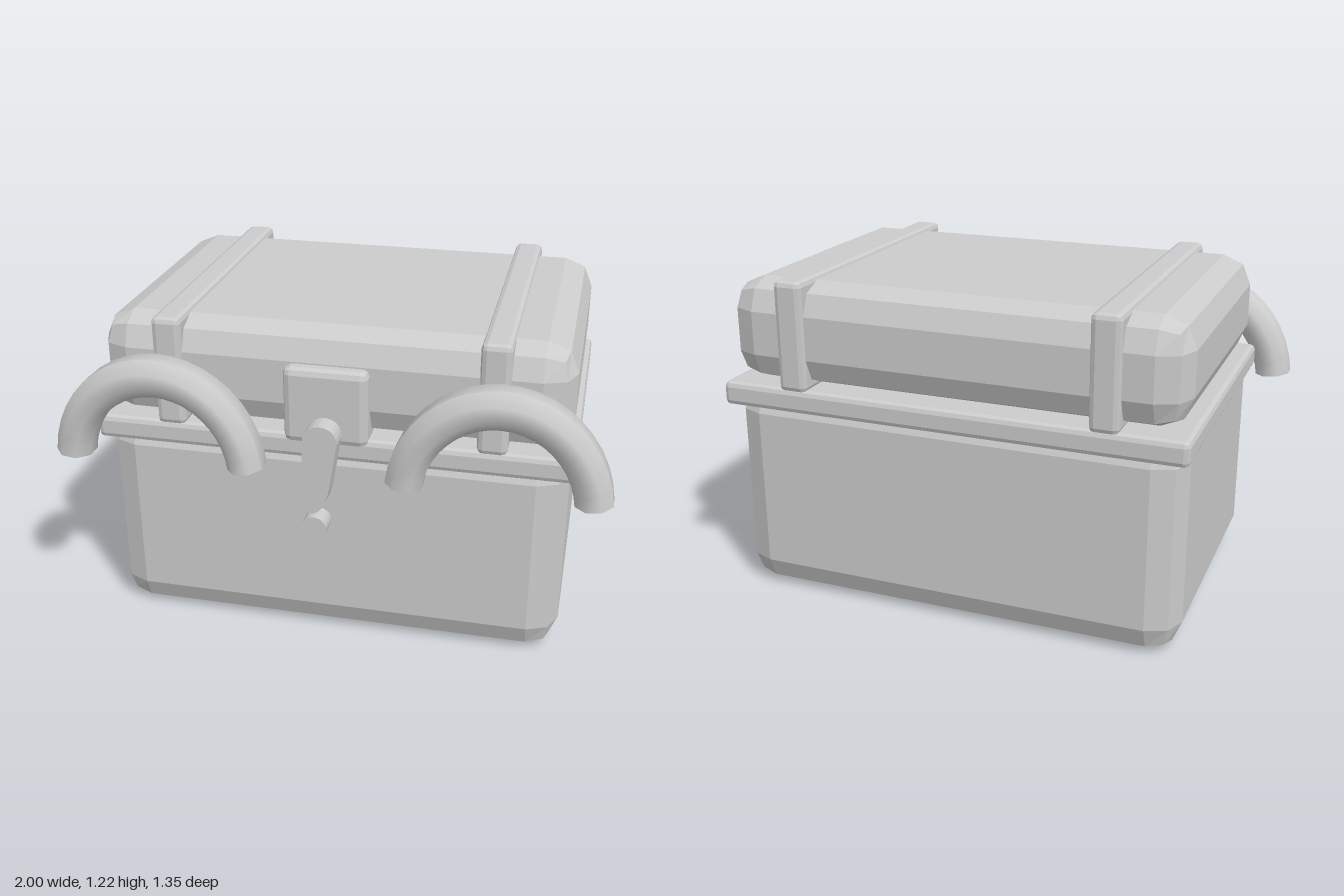
import * as THREE from 'three';
import { RoundedBoxGeometry } from 'three/addons/geometries/RoundedBoxGeometry.js';

export function createModel() {
  const model = new THREE.Group();
  model.name = 'chest';
  const grey = new THREE.MeshStandardMaterial({ color: 0xcccccc });
  grey.name = 'grey';

  const add = (name, geometry) => {
    const mesh = new THREE.Mesh(geometry, grey);
    mesh.name = name;
    model.add(mesh);
    return mesh;
  };

  // Box between two limits per axis, with a two-facet bevel on every edge
  const bevelBox = (name, [x0, x1], [y0, y1], [z0, z1], bevel) => {
    const geometry = new RoundedBoxGeometry(x1 - x0, y1 - y0, z1 - z0, 1, bevel);
    geometry.computeVertexNormals(); // unshared corners give flat facets
    const mesh = add(name, geometry);
    mesh.position.set((x0 + x1) / 2, (y0 + y1) / 2, (z0 + z1) / 2);
  };

  // Chest body, rim and lid
  bevelBox('body', [-0.845, 0.845], [0, 0.815], [-0.65, 0.495], 0.11);
  bevelBox('rim', [-0.865, 0.865], [0.73, 0.82], [-0.67, 0.51], 0.02);
  bevelBox('lid', [-0.845, 0.845], [0.82, 1.2], [-0.65, 0.495], 0.11);

  // Latch plate
  bevelBox('latchPlate', [-0.15, 0.15], [0.805, 1.085], [0.35, 0.545], 0.025);

  // Arched handle: octagonal section swept over the top, ends left open
  const section = [];
  for (let i = 0; i <= 8; i++) {
    const a = (i + 0.5) * Math.PI / 4;
    section.push(new THREE.Vector2(0.327 + 0.07 * Math.cos(a), 0.081 * Math.sin(a)));
  }
  const trim = 0.105;
  const arch = new THREE.LatheGeometry(section, 20, Math.PI / 2 + trim, Math.PI - 2 * trim);
  arch.rotateX(Math.PI / 2);
  arch.scale(1, 1.09, 1);
  arch.computeVertexNormals();

  for (const [side, s] of [['left', 1], ['right', -1]]) {
    bevelBox(side + 'Strap', [s * 0.577 - 0.053, s * 0.577 + 0.053], [0.81, 1.215], [-0.67, 0.51], 0.02);
    add(side + 'Handle', arch).position.set(s * 0.61, 0.66, 0.55);
  }

  // Plain tapered clasp bar
  const bar = new THREE.Shape();
  bar.moveTo(-0.055, 0.64);
  bar.quadraticCurveTo(-0.05, 0.605, -0.01, 0.605);
  bar.quadraticCurveTo(0.03, 0.62, 0.045, 0.7);
  bar.lineTo(0.075, 0.88);
  bar.quadraticCurveTo(0.07, 0.94, 0.01, 0.94);
  bar.quadraticCurveTo(-0.045, 0.93, -0.045, 0.88);
  bar.closePath();
  add('claspBar', new THREE.ExtrudeGeometry(bar, { depth: 0.075, bevelEnabled: false, curveSegments: 6 }))
    .position.z = 0.6;

  // Round stud below the bar
  const stud = add('claspStud', new THREE.CylinderGeometry(0.045, 0.045, 0.075, 24));
  stud.rotation.x = Math.PI / 2;
  stud.position.set(-0.01, 0.545, 0.637);

  return model;
}
